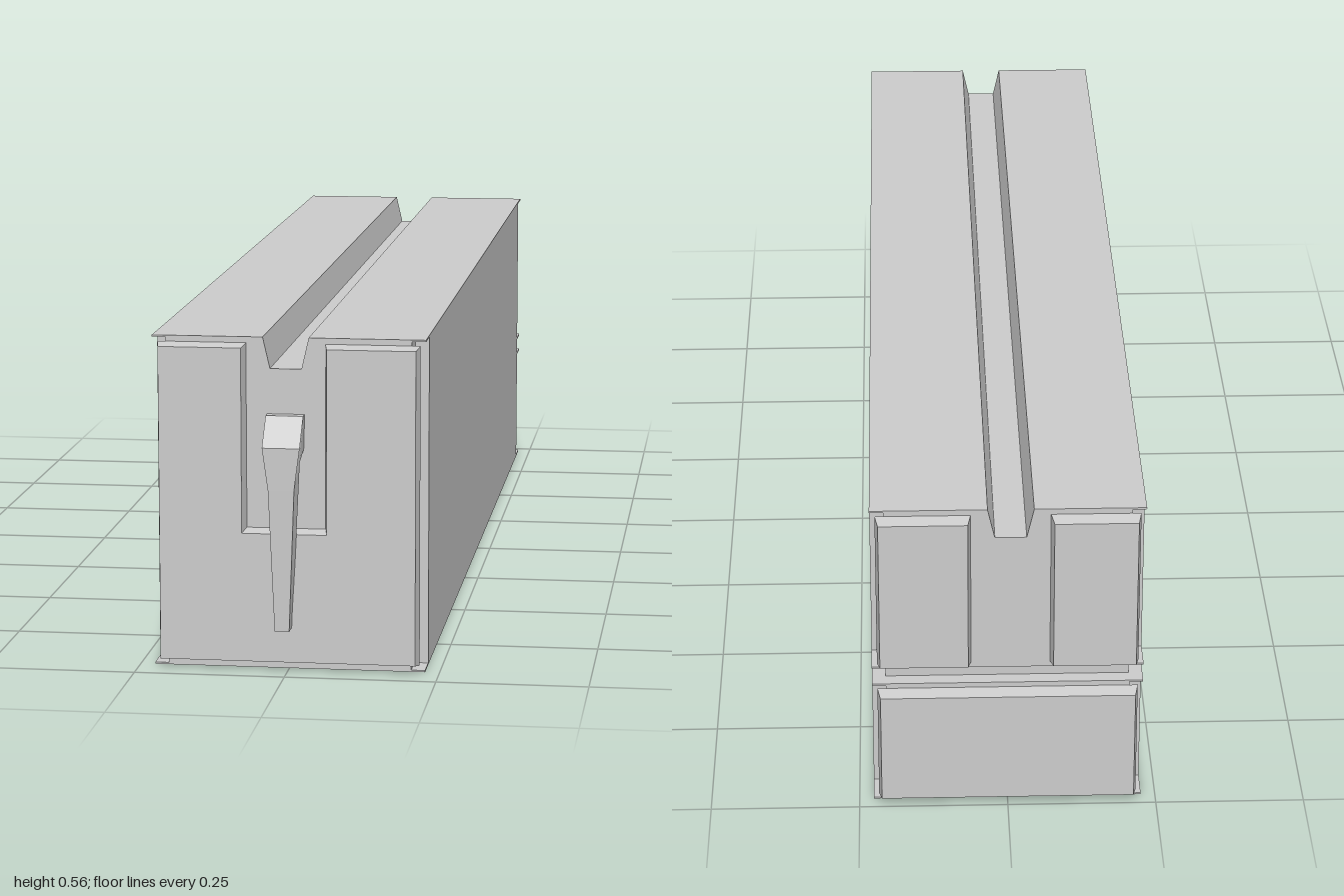
import * as THREE from 'three';

const HW = 0.226, H = 0.555, CX = -0.0045; // half width, height, centre of the slots
const INSET = 0.203;                       // half width at the notched corners
const mat = new THREE.MeshStandardMaterial({ color: 0xcccccc, flatShading: true });

const toShape = pts => new THREE.Shape(pts.map(p => new THREE.Vector2(p[0], p[1])));
const rect = (x0, x1, y0, y1) => [[x0, y0], [x1, y0], [x1, y1], [x0, y1]];

// Block outline with the tapered channel along its top
const channelled = (hw, y0) => [
  [-hw, y0], [hw, y0], [hw, H], [CX + 0.038, H], [CX + 0.026, 0.503],
  [CX - 0.026, 0.503], [CX - 0.038, H], [-hw, H],
];

function add(group, name, geo) {
  const mesh = new THREE.Mesh(geo, mat);
  mesh.name = name;
  group.add(mesh);
  return mesh;
}

// Straight extrusion from z0 to z1
function prism(pts, z0, z1) {
  const geo = new THREE.ExtrudeGeometry(toShape(pts), { depth: z1 - z0, bevelEnabled: false });
  return geo.translate(0, 0, z0);
}

// Raised panel: the outer face is inset by d (counter-clockwise, square corners)
function panel(pts, zBase, zFace, d = 0.005) {
  const n = pts.length;
  const inner = pts.map((p, i) => {
    const a = pts[(i + n - 1) % n], b = pts[(i + 1) % n];
    const normal = (s, e) => [-Math.sign(e[1] - s[1]), Math.sign(e[0] - s[0])];
    const n1 = normal(a, p), n2 = normal(p, b);
    return [p[0] + d * (n1[0] + n2[0]), p[1] + d * (n1[1] + n2[1])];
  });
  const geo = prism(pts, Math.min(zBase, zFace), Math.max(zBase, zFace));
  const pos = geo.attributes.position;
  for (let i = 0; i < pos.count; i++) {
    if (Math.abs(pos.getZ(i) - zFace) > 1e-4) continue;
    const k = pts.findIndex(p => Math.hypot(p[0] - pos.getX(i), p[1] - pos.getY(i)) < 1e-4);
    pos.setXY(i, inner[k][0], inner[k][1]);
  }
  geo.computeVertexNormals();
  return geo;
}

// Tapered lever: side profile (z, y), widened by height
function lever() {
  const profile = [
    [0.94, 0.428], [0.957, 0.428], [1.0, 0.382], [0.999, 0.312], [0.994, 0.075],
    [0.96, 0.075], [0.96, 0.312], [0.972, 0.355], [0.94, 0.37],
  ];
  const halfWidth = y => y > 0.382 ? 0.031
    : y > 0.312 ? THREE.MathUtils.mapLinear(y, 0.312, 0.382, 0.0215, 0.031)
    : THREE.MathUtils.mapLinear(y, 0.075, 0.312, 0.012, 0.0215);
  const geo = prism(profile, -1, 1);
  const pos = geo.attributes.position;
  for (let i = 0; i < pos.count; i++) {
    const z = pos.getX(i), y = pos.getY(i), side = pos.getZ(i);
    pos.setXYZ(i, CX - side * halfWidth(y), y, z);
  }
  geo.computeVertexNormals();
  return geo;
}

export function createModel() {
  const model = new THREE.Group();
  model.name = 'channelledBlock';

  // Long block and its narrower ends
  add(model, 'mainBody', prism(channelled(HW, 0), -0.92, 0.89));
  add(model, 'frontEnd', prism(channelled(INSET, 0), 0.89, 0.94));
  add(model, 'backEnd', prism(channelled(INSET, 0), -0.95, -0.92));

  // Rear end split by a horizontal groove
  add(model, 'backEndLower', prism(rect(-INSET, INSET, 0, 0.227), -0.975, -0.95));
  add(model, 'backEndUpper', prism(channelled(INSET, 0.257), -0.975, -0.95));

  // Thin plates closing the corner notches
  const t = 0.003;
  for (const s of [-1, 1]) {
    const [x0, x1] = s > 0 ? [INSET, HW] : [-HW, -INSET];
    for (const y of [0, H - t]) add(model, 'frontCornerPlate', prism(rect(x0, x1, y, y + t), 0.89, 0.94));
    for (const y of [0, 0.227 - t, 0.257, H - t])
      add(model, 'backCornerPlate', prism(rect(x0, x1, y, y + t), -0.975, -0.92));
  }

  // Raised panels
  const px = 0.217, slotL = CX - 0.0655, slotR = CX + 0.0655, top = 0.545, low = 0.011;
  add(model, 'frontPanel', panel([
    [-px, low], [px, low], [px, top], [slotR, top],
    [slotR, 0.237], [slotL, 0.237], [slotL, top], [-px, top],
  ], 0.94, 0.965));
  add(model, 'backPanelLower', panel(rect(-px, px, low, 0.218), -0.975, -1));
  add(model, 'backPanelLeft', panel(rect(slotR, px, 0.267, top), -0.975, -1));
  add(model, 'backPanelRight', panel(rect(-px, slotL, 0.267, top), -0.975, -1));

  add(model, 'lever', lever());
  return model;
}
